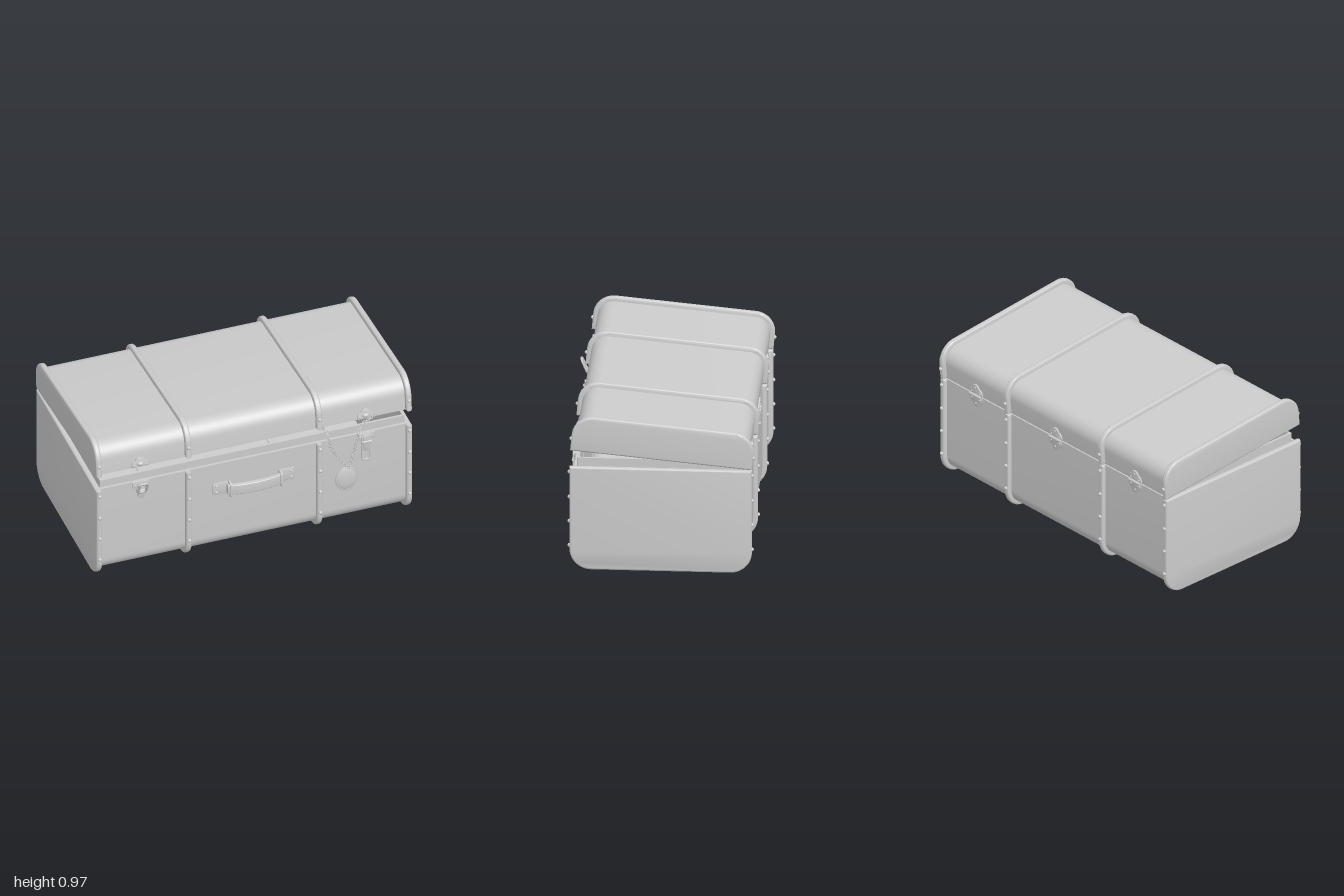
import * as THREE from 'three';
import { toCreasedNormals } from 'three/addons/utils/BufferGeometryUtils.js';

const mat = new THREE.MeshStandardMaterial({ color: 0xcccccc, side: THREE.DoubleSide });
const DEPTH = 1.09, BASE_H = 0.655, LID_H = 0.225, BACK = -0.555;

function add(parent, name, geo, x = 0, y = 0, z = 0) {
  const m = new THREE.Mesh(geo, mat);
  m.name = name;
  m.position.set(x, y, z);
  parent.add(m);
  return m;
}

// U-shaped trunk section (z from the back, y from the closed side), inset by d
function section(d, top, r) {
  const pts = [[d, top]], rr = r - d, n = 10;
  for (let i = 0; i <= n; i++) {
    const a = Math.PI + (i / n) * Math.PI / 2;
    pts.push([d + rr + rr * Math.cos(a), d + rr + rr * Math.sin(a)]);
  }
  for (let i = 0; i <= n; i++) {
    const a = 1.5 * Math.PI + (i / n) * Math.PI / 2;
    pts.push([DEPTH - d - rr + rr * Math.cos(a), d + rr + rr * Math.sin(a)]);
  }
  pts.push([DEPTH - d, top]);
  return pts;
}

// Extrude a z/y outline along x, centred on x = 0
function extrudeX(pts, width, bevel = 0) {
  const shape = new THREE.Shape(pts.map(([z, y]) => new THREE.Vector2(-z, y)));
  const g = new THREE.ExtrudeGeometry(shape, {
    depth: width - 2 * bevel, bevelEnabled: bevel > 0, bevelSize: bevel, bevelThickness: bevel, bevelSegments: 4
  });
  g.translate(0, 0, -(width - 2 * bevel) / 2).rotateY(Math.PI / 2);
  return toCreasedNormals(g, 0.6);
}

// Thin plate in the x/y plane from a shape
function plate(shape, depth) {
  const g = new THREE.ExtrudeGeometry(shape, {
    depth, bevelSize: 0.003, bevelThickness: 0.003, bevelSegments: 2, curveSegments: 10
  });
  return toCreasedNormals(g, 0.6);
}

// Rounded rectangle centred on the origin
function roundRect(w, h, r, Type = THREE.Shape) {
  const s = new Type(), q = Math.PI / 2, x = w / 2 - r, y = h / 2 - r;
  s.absarc(x, y, r, 0, q).absarc(-x, y, r, q, 2 * q).absarc(-x, -y, r, 2 * q, 3 * q).absarc(x, -y, r, 3 * q, 4 * q);
  return s;
}

// Leaf with two shoulders and a rounded tip pointing up
function leafShape(w, h) {
  const s = new THREE.Shape();
  s.moveTo(-w / 2, 0);
  s.lineTo(w / 2, 0);
  s.lineTo(w / 2, h * 0.35);
  s.quadraticCurveTo(w * 0.45, h * 0.6, w * 0.27, h * 0.65);
  s.quadraticCurveTo(w * 0.22, h, 0, h);
  s.quadraticCurveTo(-w * 0.22, h, -w * 0.27, h * 0.65);
  s.quadraticCurveTo(-w * 0.45, h * 0.6, -w / 2, h * 0.35);
  return s;
}

function rivet(parent, x, y, z, r = 0.012) {
  add(parent, 'rivet', new THREE.SphereGeometry(r, 12, 8), x, y, z);
}

// Shell, ribs and end caps shared by the base and the lid
function half(name, h, r, flip, rivetYs) {
  const g = new THREE.Group();
  g.name = name;
  const place = p => flip ? p.map(([z, y]) => [z, h - y]) : p;
  const ring = (a, b, top) => place([...section(a, top, r), ...section(b, top, r).reverse()]);
  add(g, name + 'Shell', extrudeX(ring(0.028, 0.044, h), 1.95));
  for (const s of [-1, 1]) {
    add(g, name + 'Rib', extrudeX(ring(0.013, 0.04, h - 0.013), 0.036, 0.013), s * 0.414);
    add(g, name + 'EndCap', extrudeX(place(section(0.012, h - 0.012, r)), 0.036, 0.012), s * 0.98);
    for (const x of [0.414, 0.98]) for (const y of rivetYs) {
      rivet(g, s * x, y, DEPTH);
      rivet(g, s * x, y, 0);
    }
  }
  return g;
}

function addHandle(root) {
  const handle = new THREE.Group();
  handle.name = 'handle';
  handle.position.set(0, 0.472, 0.505);
  root.add(handle);
  // Bowed leather grip, drawn in plan and extruded upward
  const s = new THREE.Shape();
  s.moveTo(-0.17, -0.02);
  s.lineTo(-0.17, -0.04);
  s.quadraticCurveTo(0, -0.083, 0.17, -0.04);
  s.lineTo(0.17, -0.02);
  s.quadraticCurveTo(0, -0.056, -0.17, -0.02);
  const g = new THREE.ExtrudeGeometry(s, {
    depth: 0.06, bevelSize: 0.004, bevelThickness: 0.005, bevelSegments: 3, curveSegments: 20
  });
  g.translate(0, 0, -0.03).rotateX(-Math.PI / 2);
  // Plan y becomes -z, so the bow faces the front
  add(handle, 'grip', toCreasedNormals(g, 0.6));
  for (const k of [-1, 1]) {
    add(handle, 'handlePlate', plate(roundRect(0.1, 0.08, 0.008), 0.007), k * 0.205, 0, 0);
    const loop = roundRect(0.045, 0.095, 0.01);
    loop.holes.push(roundRect(0.033, 0.079, 0.006, THREE.Path));
    const m = add(handle, 'handleLoop', plate(loop, 0.006), k * 0.16, 0, 0.025);
    m.rotation.y = Math.PI / 2;
    for (const y of [-0.022, 0.022]) rivet(handle, k * 0.237, y, 0.01, 0.009);
  }
}

function addLatch(root, x, open) {
  const latch = new THREE.Group();
  latch.name = 'latch';
  latch.position.set(x, 0, 0.507);
  root.add(latch);
  const leaf = add(latch, 'latchPlate', plate(leafShape(0.1, 0.075), 0.008), 0, 0.652, 0);
  leaf.rotation.z = Math.PI;
  for (const k of [-1, 1]) rivet(latch, k * 0.037, 0.632, 0.01, 0.007);
  const pin = add(latch, 'latchPin', new THREE.CylinderGeometry(0.01, 0.01, 0.06, 12), 0, 0.6, 0.02);
  pin.rotation.z = Math.PI / 2;
  // Wire bail, tipped outward on one latch and hanging on the other
  const h = open ? 0.1 : 0.19;
  const bail = roundRect(0.06, h, 0.022);
  bail.holes.push(roundRect(0.04, h - 0.02, 0.014, THREE.Path));
  const b = add(latch, 'latchBail', plate(bail, 0.005), 0, open ? 0.632 : 0.555, open ? 0.045 : 0.014);
  if (open) b.rotation.x = 0.4;
  add(latch, 'latchTongue', plate(roundRect(0.036, open ? 0.085 : 0.11, 0.014), 0.012), 0, open ? 0.588 : 0.59, 0.01);
}

function addChain(root) {
  const pendant = new THREE.Group();
  pendant.name = 'pendant';
  root.add(pendant);
  const path = new THREE.CatmullRomCurve3([
    [0.45, 0.712, 0.44], [0.462, 0.722, 0.49], [0.47, 0.68, 0.527], [0.485, 0.61, 0.53], [0.53, 0.53, 0.525],
    [0.597, 0.437, 0.522], [0.625, 0.53, 0.525], [0.645, 0.62, 0.53], [0.66, 0.68, 0.527],
    [0.685, 0.715, 0.5], [0.73, 0.718, 0.48], [0.79, 0.716, 0.44]
  ].map(p => new THREE.Vector3(...p)));
  const n = Math.round(path.getLength() / 0.0165);
  const link = new THREE.TorusGeometry(0.0085, 0.003, 6, 12).scale(1.35, 0.9, 1);
  const xAxis = new THREE.Vector3(1, 0, 0);
  for (let i = 0; i <= n; i++) {
    const m = add(pendant, 'chainLink', link);
    m.position.copy(path.getPointAt(i / n));
    m.quaternion.setFromUnitVectors(xAxis, path.getTangentAt(i / n));
    m.rotateX(i % 2 ? Math.PI / 4 : -Math.PI / 4);
  }
  // Oval locket with a rim
  add(pendant, 'locket', new THREE.SphereGeometry(1, 28, 16).scale(0.066, 0.08, 0.014), 0.586, 0.35, 0.517);
  add(pendant, 'locketRim', new THREE.TorusGeometry(1, 0.08, 8, 36).scale(0.065, 0.079, 0.07), 0.586, 0.35, 0.517);
  add(pendant, 'locketRing', new THREE.TorusGeometry(0.01, 0.003, 6, 14), 0.594, 0.437, 0.52);
}

export function createModel() {
  const root = new THREE.Group();
  root.name = 'trunk';

  const base = half('base', BASE_H, 0.13, false, [0.15, 0.305, 0.46, 0.62]);
  base.position.z = BACK;
  root.add(base);

  // Lid hinged along the back edge and slightly raised
  const lid = half('lid', LID_H, 0.125, true, [0.074]);
  lid.position.set(0, 0.66, BACK);
  lid.rotation.x = -0.092;
  root.add(lid);

  // Inner lip around the opening
  const lip = roundRect(1.93, 1.0, 0.005);
  lip.holes.push(roundRect(1.9, 0.97, 0.005, THREE.Path));
  const lipGeo = new THREE.ExtrudeGeometry(lip, { depth: 0.105, bevelEnabled: false });
  add(root, 'innerLip', lipGeo.rotateX(-Math.PI / 2), 0, 0.6, -0.01);

  // Hinges at the back
  for (const x of [-0.7, 0, 0.7]) {
    const upper = add(lid, 'hingeLeaf', plate(leafShape(0.1, 0.07), 0.008), x, 0, 0.03);
    upper.rotation.y = Math.PI;
    const lower = add(base, 'hingeLeaf', plate(leafShape(0.1, 0.07), 0.008), x, BASE_H, 0.03);
    lower.rotation.x = Math.PI;
    const pin = add(base, 'hingePin', new THREE.CylinderGeometry(0.011, 0.011, 0.1, 14), x, 0.658, 0.018);
    pin.rotation.z = Math.PI / 2;
    for (const k of [-1, 0, 1]) {
      const dy = k ? 0.018 : 0.05;
      rivet(lid, x + k * 0.035, dy, 0.02, 0.007);
      rivet(base, x + k * 0.035, BASE_H - dy, 0.02, 0.007);
    }
  }

  // Catches on the lid front, latches below them
  for (const x of [-0.715, 0.71]) {
    add(lid, 'lidCatch', plate(leafShape(0.1, 0.062), 0.008), x, 0.006, 1.062);
    add(lid, 'catchKnob', new THREE.SphereGeometry(0.018, 14, 10).scale(1.2, 0.8, 0.8), x, 0.028, 1.074);
    for (const k of [-1, 1]) rivet(lid, x + k * 0.037, 0.017, 1.072, 0.007);
    addLatch(root, x, x < 0);
  }
  addHandle(root);
  addChain(root);
  return root;
}
